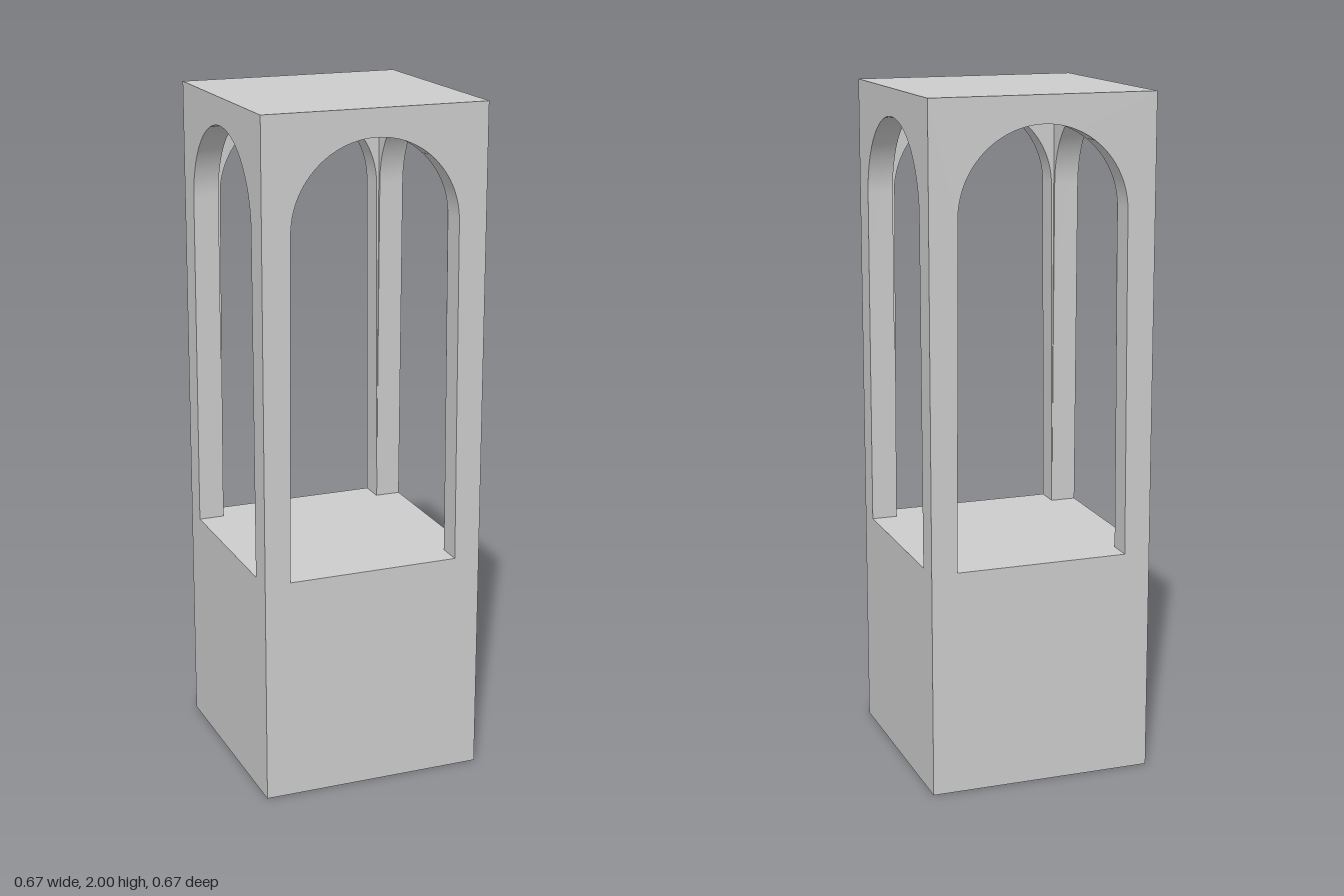
import * as THREE from 'three';
import { toCreasedNormals } from 'three/addons/utils/BufferGeometryUtils.js';

const HALF = 1 / 3;       // half width of the square tower
const BASE = 0.667;       // height of the solid base
const TOP = 2;
const ROOF = 0.008;       // thin roof slab
const WALL = 0.076;       // wall thickness
const SPRING = 1.67;      // height where the arch begins
const RADIUS = 0.25;

const material = new THREE.MeshStandardMaterial({ color: 0xcccccc });

function addMesh(parent, name, geometry, y = 0) {
  const mesh = new THREE.Mesh(geometry, material);
  mesh.name = name;
  mesh.position.y = y;
  parent.add(mesh);
  return mesh;
}

// Wall with an arched opening that widens slightly towards the floor
function archWallGeometry() {
  const foot = HALF - WALL - 0.001;
  const shape = new THREE.Shape();
  shape.moveTo(-HALF, BASE);
  shape.lineTo(-foot, BASE);
  shape.lineTo(-RADIUS, SPRING);
  shape.absarc(0, SPRING, RADIUS, Math.PI, 0, true);
  shape.lineTo(foot, BASE);
  shape.lineTo(HALF, BASE);
  shape.lineTo(HALF, TOP - ROOF);
  shape.lineTo(-HALF, TOP - ROOF);
  shape.closePath();

  const geometry = new THREE.ExtrudeGeometry(shape, {
    depth: WALL, bevelEnabled: false, curveSegments: 32,
  });
  geometry.translate(0, 0, HALF - WALL);

  // Mitre the inner corners so that four walls meet cleanly
  const p = geometry.attributes.position;
  for (let i = 0; i < p.count; i++) {
    const x = p.getX(i);
    if (Math.abs(x) > HALF - 1e-4 && p.getZ(i) < HALF - WALL / 2) {
      p.setX(i, Math.sign(x) * (HALF - WALL));
    }
  }
  return toCreasedNormals(geometry, Math.PI / 6);
}

export function createModel() {
  const model = new THREE.Group();
  model.name = 'archedTower';

  // Solid base and thin roof
  addMesh(model, 'base', new THREE.BoxGeometry(2 * HALF, BASE, 2 * HALF), BASE / 2);
  addMesh(model, 'roof', new THREE.BoxGeometry(2 * HALF, ROOF, 2 * HALF), TOP - ROOF / 2);

  // Four identical arched walls
  const wall = archWallGeometry();
  ['frontArch', 'leftArch', 'backArch', 'rightArch'].forEach((name, i) => {
    addMesh(model, name, wall).rotation.y = i * Math.PI / 2;
  });

  return model;
}
